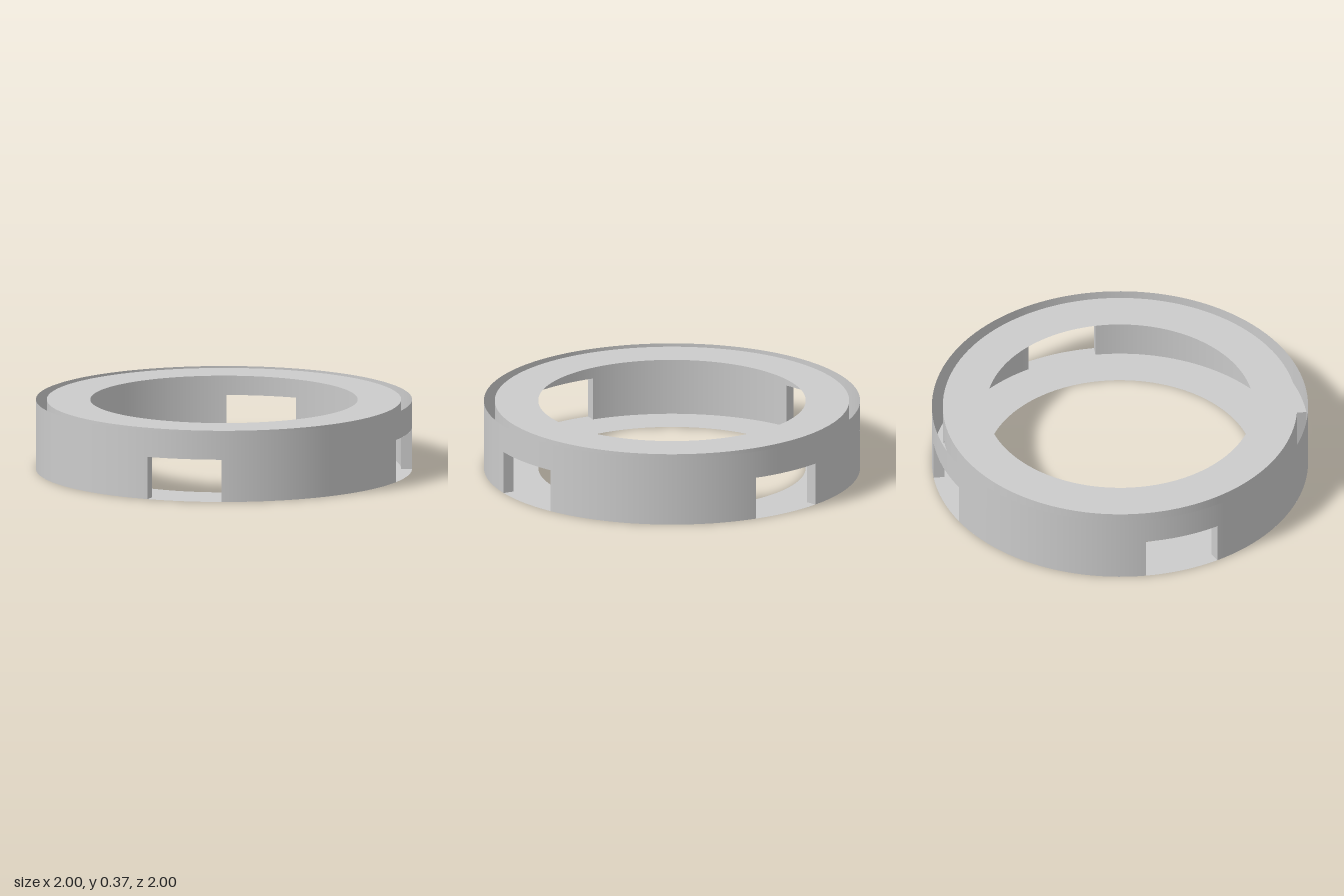
import * as THREE from 'three';

const OUTER = 1, INNER = 0.942, BORE = 0.711;   // radii
const HEIGHT = 0.374, SLOT_TOP = 0.228;
const SLOT_START = THREE.MathUtils.degToRad(39.2);
const SLOT_ARC = THREE.MathUtils.degToRad(23.2);
const QUARTER = Math.PI / 2;

export function createModel() {
  const model = new THREE.Group();
  const material = new THREE.MeshStandardMaterial({ color: 0xcccccc, side: THREE.DoubleSide });

  const add = (name, geometry, y = 0) => {
    const mesh = new THREE.Mesh(geometry, material);
    mesh.name = name;
    mesh.position.y = y;
    model.add(mesh);
  };

  // Open cylindrical band between two heights
  const band = (name, r, y0, y1, start, arc, segments) =>
    add(name, new THREE.CylinderGeometry(r, r, y1 - y0, segments, 1, true, start, arc), (y0 + y1) / 2);

  // Flat horizontal ring or ring sector, angles measured from +z like the bands
  const ring = (name, r0, r1, y, start = 0, arc = Math.PI * 2, segments = 128) =>
    add(name, new THREE.RingGeometry(r0, r1, segments, 1, start - QUARTER, arc).rotateX(-QUARTER), y);

  // Thin flanges: the gap between the two walls stays open at the top
  ring('bottomFlange', BORE, OUTER, 0);
  ring('topFlange', BORE, INNER, HEIGHT);

  // Double wall, closed above the slots and split into four arcs between them
  for (const [name, r] of [['outerWall', OUTER], ['innerWall', INNER]]) {
    band(name + 'Upper', r, SLOT_TOP, HEIGHT, 0, Math.PI * 2, 128);
    for (let i = 0; i < 4; i++) {
      band(name + 'Lower', r, 0, SLOT_TOP, SLOT_START + SLOT_ARC + i * QUARTER, QUARTER - SLOT_ARC, 24);
    }
  }

  // Slot linings: a ceiling and two radial sides each
  for (let i = 0; i < 4; i++) {
    const start = SLOT_START + i * QUARTER;
    ring('slotCeiling', INNER, OUTER, SLOT_TOP, start, SLOT_ARC, 10);
    for (const angle of [start, start + SLOT_ARC]) {
      const side = new THREE.PlaneGeometry(OUTER - INNER, SLOT_TOP);
      side.translate((OUTER + INNER) / 2, SLOT_TOP / 2, 0).rotateY(angle - QUARTER);
      add('slotSide', side);
    }
  }
  return model;
}
